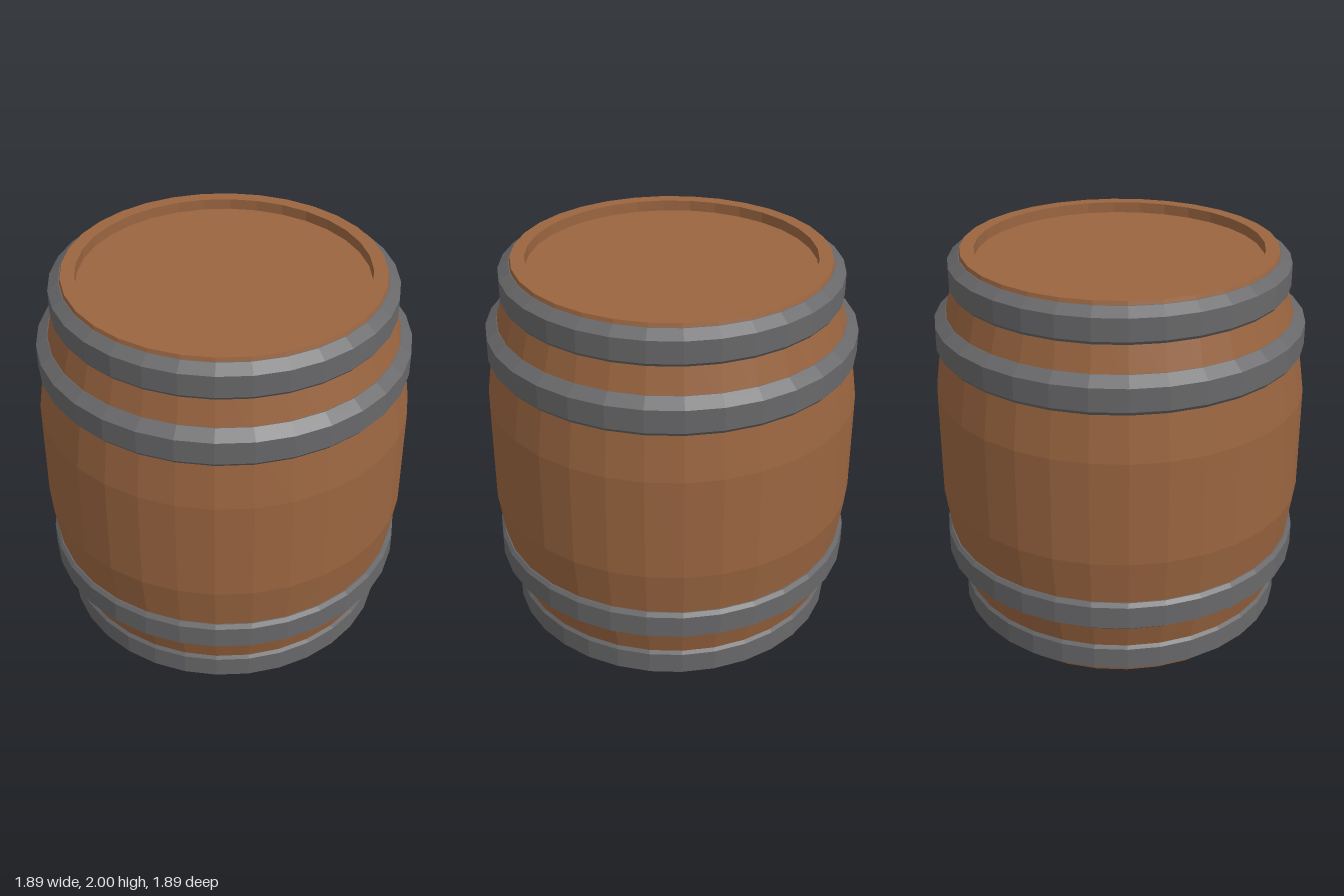
import * as THREE from 'three';

const SIDES = 32;

// Revolves [radius, y] points; outer walls run upward
function revolve(name, points, material) {
  const profile = points.map(([r, y]) => new THREE.Vector2(r, y));
  const mesh = new THREE.Mesh(new THREE.LatheGeometry(profile, SIDES), material);
  mesh.name = name;
  return mesh;
}

export function createModel() {
  const wood = new THREE.MeshStandardMaterial({ color: 0x9a6540, flatShading: true });
  wood.name = 'brown wood';
  const iron = new THREE.MeshStandardMaterial({ color: 0x68686a, flatShading: true });
  iron.name = 'grey iron';

  const barrel = new THREE.Group();
  barrel.name = 'barrel';

  // Bulging staves with a flat base and a raised rim
  barrel.add(revolve('staves', [
    [0, 0], [0.79, 0], [0.9, 0.41], [0.945, 0.73],
    [0.945, 1.27], [0.9, 1.59], [0.79, 2], [0.72, 2], [0.72, 1.945],
  ], wood));

  // Recessed lid
  barrel.add(revolve('lid', [[0.72, 1.945], [0, 1.945]], wood));

  // Hoops, each bevelled on the side facing the barrel's end
  const hoops = {
    EndHoop: [[0.77, 1.81], [0.838, 1.81], [0.853, 1.83], [0.853, 1.942], [0.8, 1.98], [0.77, 1.98], [0.77, 1.81]],
    MiddleHoop: [[0.84, 1.505], [0.918, 1.505], [0.934, 1.525], [0.934, 1.642], [0.878, 1.685], [0.84, 1.685], [0.84, 1.505]],
  };
  for (const [name, points] of Object.entries(hoops)) {
    barrel.add(revolve('upper' + name, points, iron));
    const mirrored = points.map(([r, y]) => [r, 2 - y]).reverse();
    barrel.add(revolve('lower' + name, mirrored, iron));
  }
  return barrel;
}
